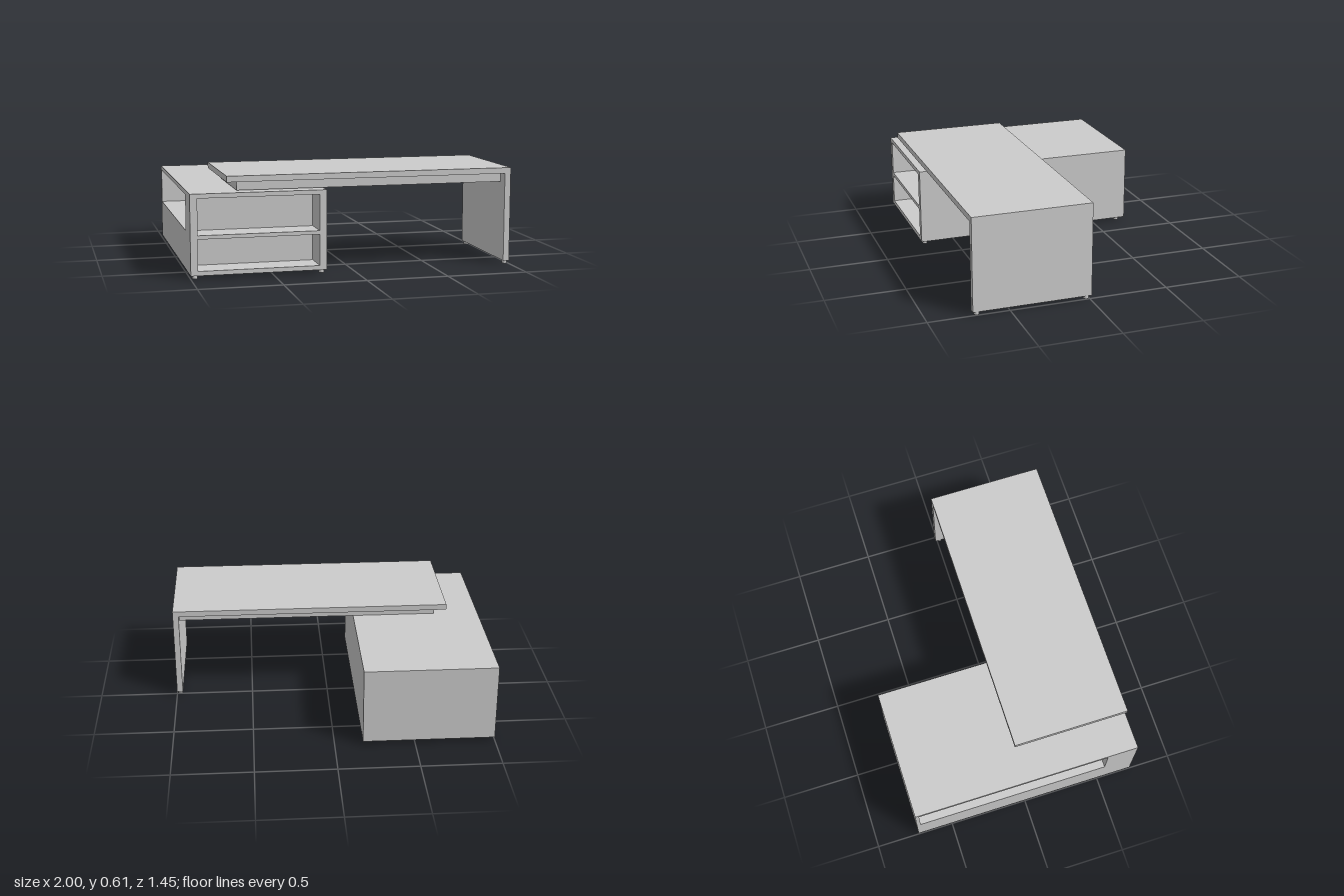
import * as THREE from 'three';

const material = new THREE.MeshStandardMaterial({ color: 0xcccccc });

function addMesh(parent, name, geometry) {
  const mesh = new THREE.Mesh(geometry, material);
  mesh.name = name;
  parent.add(mesh);
  return mesh;
}

// Box given by its minimum and maximum corners
function boxBetween([x0, y0, z0], [x1, y1, z1]) {
  return new THREE.BoxGeometry(x1 - x0, y1 - y0, z1 - z0)
    .translate((x0 + x1) / 2, (y0 + y1) / 2, (z0 + z1) / 2);
}

function rectPoints(x0, y0, x1, y1) {
  return [[x0, y0], [x1, y0], [x1, y1], [x0, y1]].map(([x, y]) => new THREE.Vector2(x, y));
}

// Rectangular panel with rectangular openings, extruded along +z
function framePanel(outer, openings, depth) {
  const shape = new THREE.Shape(rectPoints(...outer));
  for (const o of openings) shape.holes.push(new THREE.Path(rectPoints(...o).reverse()));
  return new THREE.ExtrudeGeometry(shape, { depth, bevelEnabled: false });
}

function addFeet(parent, xs, zs, height) {
  for (const x of xs) {
    for (const z of zs) {
      addMesh(parent, 'foot', new THREE.CylinderGeometry(0.016, 0.016, height, 16))
        .position.set(x, height / 2, z);
    }
  }
}

export function createModel() {
  const model = new THREE.Group();
  model.name = 'cornerDesk';

  const left = -1, right = -0.176, base = 0.02, top = 0.507;
  const front = 0.727, back = -0.727;
  const bayBack = 0.54, nicheBack = -0.77;

  // Low cabinet: two open bays in front, one long niche on the outer side
  const cabinet = new THREE.Group();
  cabinet.name = 'cabinet';
  model.add(cabinet);

  addMesh(cabinet, 'frontBays', framePanel(
    [left, base, right, top],
    [[-0.956, 0.26, -0.219, 0.48], [-0.956, 0.047, -0.219, 0.237]],
    front - bayBack)).position.z = bayBack;

  const niche = framePanel([back, base, bayBack, top],
    [[-0.703, 0.26, 0.53, 0.48]], nicheBack - left);
  addMesh(cabinet, 'sideNiche', niche.rotateY(-Math.PI / 2).translate(nicheBack, 0, 0));

  addMesh(cabinet, 'cabinetBody',
    boxBetween([nicheBack, base, back], [right, top, bayBack]));
  addFeet(cabinet, [-0.974, -0.204], [0.7, -0.677], base);

  // Desk: worktop and end panel in one piece
  const desk = new THREE.Group();
  desk.name = 'desk';
  model.add(desk);

  const deskBack = -0.013;
  const profile = new THREE.Shape([
    [-0.78, 0.57], [0.962, 0.57], [0.962, base], [1, base], [1, 0.606], [-0.78, 0.606],
  ].map(([x, y]) => new THREE.Vector2(x, y)));
  addMesh(desk, 'worktopAndEndPanel',
    new THREE.ExtrudeGeometry(profile, { depth: front - deskBack, bevelEnabled: false }))
    .position.z = deskBack;

  // Inset block that carries the worktop
  addMesh(desk, 'underframe',
    boxBetween([-0.71, 0.511, deskBack + 0.072], [0.962, 0.57, front - 0.072]));
  addFeet(desk, [0.98], [0.7, 0.018], base);

  return model;
}
